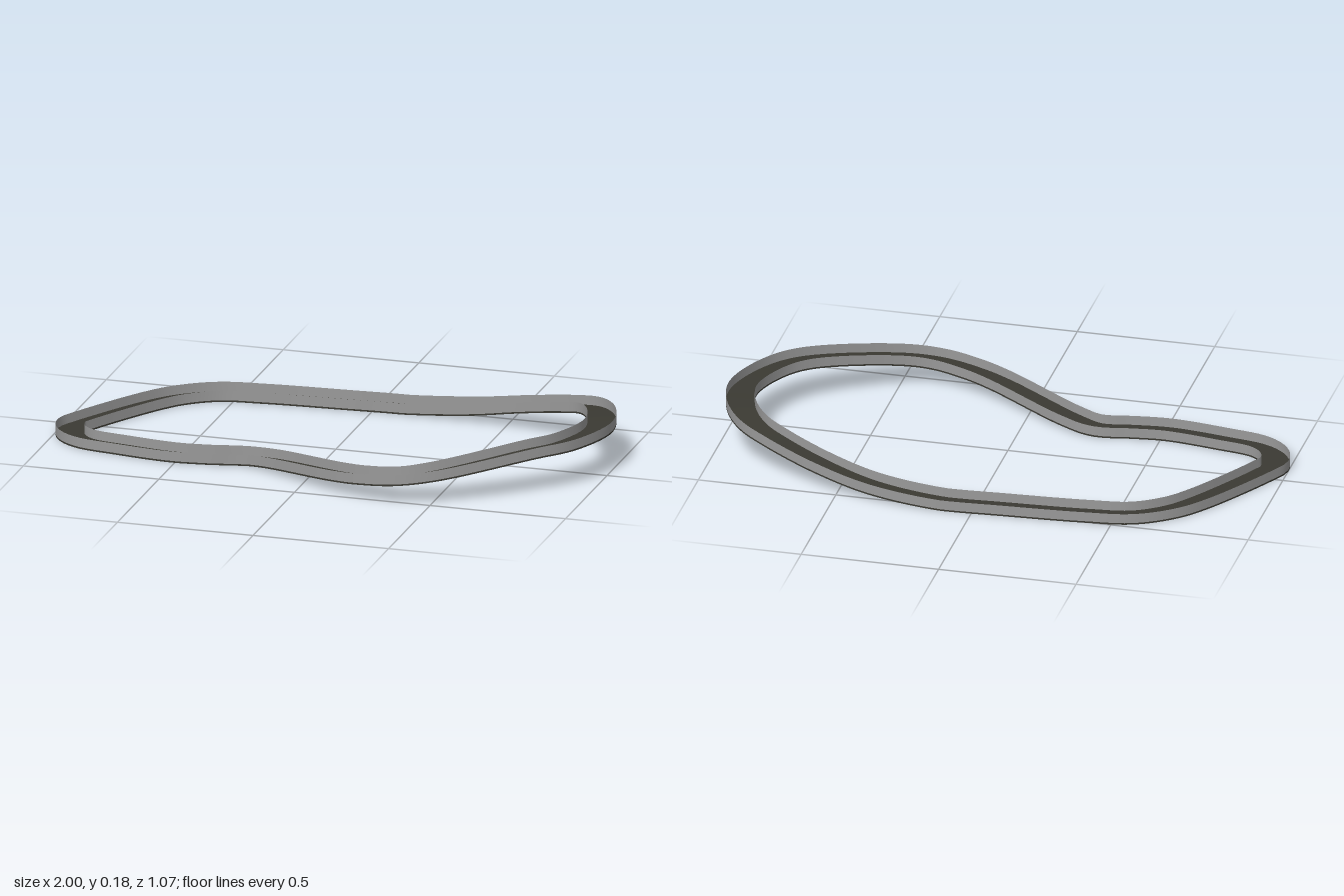
import * as THREE from 'three';

const HALF_WIDTH = 0.051;
const SLAB = 0.006;
const WALL_TOP = 0.041;
const STEPS = 240;

// Centre line of the circuit: x, height of the underside, z
const CENTRE = [
  [-0.95, 0, 0.08], [-0.93, 0, 0.15], [-0.865, 0, 0.205], [-0.72, 0, 0.235],
  [-0.52, 0, 0.26], [-0.4, 0, 0.25], [-0.265, 0.002, 0.23], [-0.165, 0.012, 0.26],
  [0.135, 0.043, 0.42], [0.24, 0.054, 0.46], [0.37, 0.069, 0.48], [0.5, 0.088, 0.445],
  [0.79, 0.134, 0.245], [0.885, 0.137, 0.135], [0.948, 0.139, -0.05], [0.92, 0.139, -0.195],
  [0.85, 0.128, -0.3], [0.75, 0.106, -0.36], [0.565, 0.064, -0.43], [0.37, 0.025, -0.47],
  [0.11, 0, -0.485], [-0.09, 0, -0.475], [-0.4, 0, -0.455], [-0.56, 0, -0.43],
  [-0.68, 0, -0.355], [-0.76, 0, -0.26], [-0.925, 0, 0.02],
];

export function createModel() {
  const asphalt = new THREE.MeshStandardMaterial({ color: 0x3b3a33 });
  asphalt.name = 'asphalt';
  const barrier = new THREE.MeshStandardMaterial({ color: 0x999999, side: THREE.DoubleSide });
  barrier.name = 'barrier grey';

  const curve = new THREE.CatmullRomCurve3(CENTRE.map((p) => new THREE.Vector3(...p)), true);
  const stations = [];
  for (let i = 0; i < STEPS; i++) {
    const p = curve.getPointAt(i / STEPS);
    const t = curve.getTangentAt(i / STEPS);
    const out = new THREE.Vector3(-t.z, 0, t.x).normalize();
    stations.push({ p: p.setY(Math.max(0, p.y)), out });
  }

  const group = new THREE.Group();
  group.name = 'circuit';

  // Closed ribbon between two rails, each given as [side offset, height]
  function ribbon(name, a, b, material) {
    const positions = [];
    const index = [];
    stations.forEach(({ p, out }, i) => {
      for (const [offset, height] of [a, b]) {
        positions.push(p.x + out.x * offset, p.y + height, p.z + out.z * offset);
      }
      const j = (i + 1) % STEPS;
      index.push(2 * i, 2 * i + 1, 2 * j, 2 * j, 2 * i + 1, 2 * j + 1);
    });
    const geometry = new THREE.BufferGeometry();
    geometry.setAttribute('position', new THREE.Float32BufferAttribute(positions, 3));
    geometry.setIndex(index);
    geometry.computeVertexNormals();
    const mesh = new THREE.Mesh(geometry, material);
    mesh.name = name;
    group.add(mesh);
  }

  // Road slab
  const W = HALF_WIDTH;
  ribbon('roadSurface', [-W, SLAB], [W, SLAB], asphalt);
  ribbon('roadUnderside', [W, 0], [-W, 0], asphalt);
  ribbon('roadOuterEdge', [W, SLAB], [W, 0], asphalt);
  ribbon('roadInnerEdge', [-W, 0], [-W, SLAB], asphalt);

  // Thin barriers along both edges
  ribbon('outerBarrier', [W, WALL_TOP], [W, SLAB], barrier);
  ribbon('innerBarrier', [-W, SLAB], [-W, WALL_TOP], barrier);

  return group;
}
